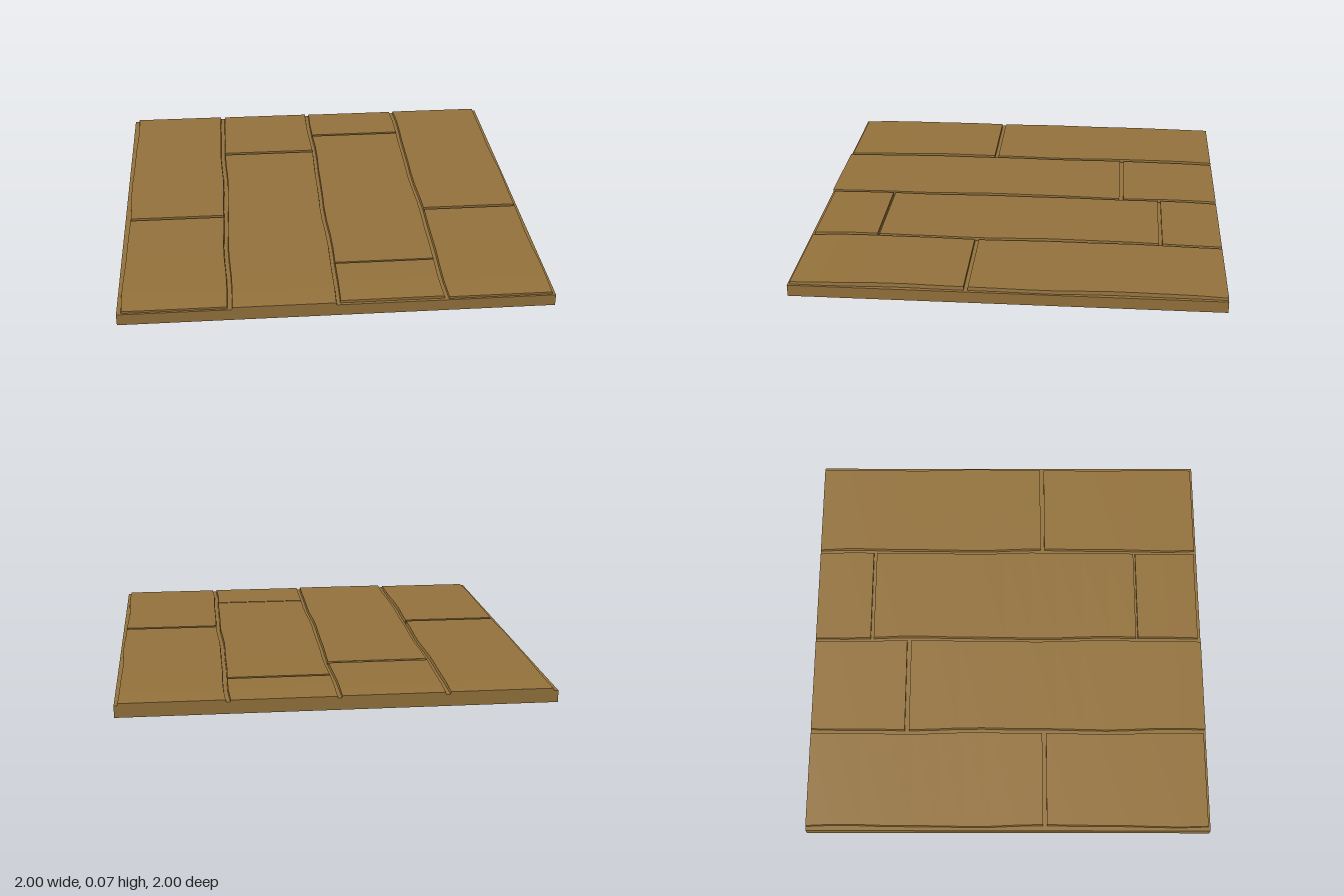
import * as THREE from 'three';

const BASE_TOP = 0.055;

// Long edges of each column of planks, and the z range of each plank in it
const columns = [
  { x0: -0.98, x1: -0.503, planks: [[-1, 0.172], [0.192, 0.99]] },
  { x0: -0.485, x1: -0.006, planks: [[-1, -0.524], [-0.503, 1]] },
  { x0: 0.009, x1: 0.49, planks: [[-1, -0.715], [-0.699, 0.664], [0.674, 0.985]] },
  { x0: 0.506, x1: 0.985, planks: [[-1, 0.172], [0.192, 0.99]] },
];

// Gentle hand-hewn waviness of the long edges
const wobble = (z, seed) => 0.004 * Math.sin(z * 6 + seed) + 0.002 * Math.sin(z * 13 + seed * 2);

// Worn top surface: slightly uneven, dropping toward the outer ends
function topHeight(z, seed) {
  const wear = 0.007 * Math.pow(Math.abs(z), 6);
  return 0.0725 + 0.0015 * Math.sin(z * 5 + seed) - wear;
}

function plankGeometry(x0, x1, z0, z1, column) {
  const segments = Math.max(2, Math.round((z1 - z0) / 0.13));
  const geometry = new THREE.BoxGeometry(2, 2, z1 - z0, 1, 1, segments);
  geometry.translate(0, 0, (z0 + z1) / 2);
  const p = geometry.attributes.position;
  for (let i = 0; i < p.count; i++) {
    const right = p.getX(i) > 0;
    const top = p.getY(i) > 0;
    const z = p.getZ(i);
    // Neighbouring planks share the wave of the seam between them
    const seam = column + (right ? 1 : 0);
    const bevel = top ? (right ? -0.003 : 0.003) : 0;
    const x = (right ? x1 : x0) + wobble(z, seam * 2.1) + bevel;
    p.setXYZ(i, THREE.MathUtils.clamp(x, -1, 1), top ? topHeight(z, column * 1.7) : BASE_TOP - 0.004, z);
  }
  geometry.computeVertexNormals();
  return geometry;
}

export function createModel() {
  const model = new THREE.Group();
  model.name = 'plankFloor';
  const wood = new THREE.MeshStandardMaterial({ color: 0x94723c });
  wood.name = 'brown wood';
  wood.flatShading = true;

  // Solid slab beneath the boards
  const slab = new THREE.Mesh(new THREE.BoxGeometry(2, BASE_TOP, 2), wood);
  slab.position.y = BASE_TOP / 2;
  slab.name = 'baseSlab';
  model.add(slab);

  // Four columns of staggered boards
  columns.forEach(({ x0, x1, planks }, c) => {
    planks.forEach(([z0, z1], i) => {
      const plank = new THREE.Mesh(plankGeometry(x0, x1, z0, z1, c), wood);
      plank.name = `plank_${c + 1}_${i + 1}`;
      model.add(plank);
    });
  });
  return model;
}
